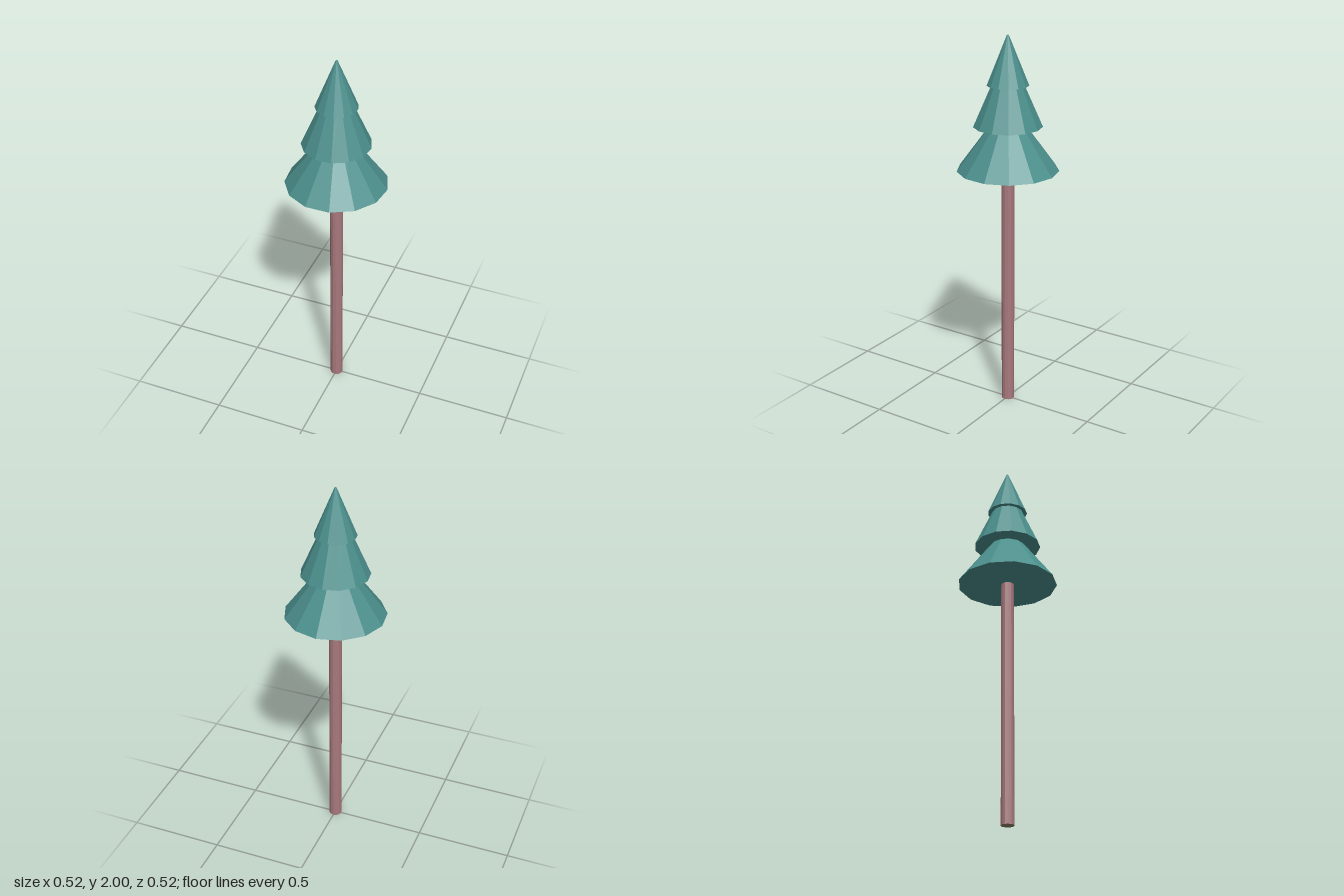
import * as THREE from 'three';

const SIDES = 13;
const TRUNK_RADIUS = 0.034;

function add(parent, name, geometry, color, y) {
  const mesh = new THREE.Mesh(geometry, new THREE.MeshStandardMaterial({ color, flatShading: true }));
  mesh.name = name;
  mesh.position.y = y;
  parent.add(mesh);
  return mesh;
}

export function createModel() {
  const tree = new THREE.Group();
  tree.name = 'pineTree';

  // Tall bare trunk, running up into the lowest tier
  const trunkHeight = 1.4;
  add(tree, 'trunk',
    new THREE.CylinderGeometry(TRUNK_RADIUS, TRUNK_RADIUS, trunkHeight, SIDES, 1, true),
    0xa8797d, trunkHeight / 2).rotation.y = Math.PI;

  // Cut wood at the foot of the trunk
  const cut = new THREE.CircleGeometry(TRUNK_RADIUS, SIDES);
  cut.rotateZ(Math.PI / 2).rotateX(Math.PI / 2).rotateY(Math.PI);
  add(tree, 'trunkBase', cut, 0x8a7f5c, 0);

  // Three stacked foliage tiers, each tucked into the one above
  const tiers = [
    { name: 'lowerFoliage', base: 1.31, top: 1.6, bottomRadius: 0.263, topRadius: 0.05 },
    { name: 'middleFoliage', base: 1.54, top: 1.8, bottomRadius: 0.177, topRadius: 0.062 },
    { name: 'upperFoliage', base: 1.75, top: 2.0, bottomRadius: 0.107, topRadius: 0.005 },
  ];
  for (const { name, base, top, bottomRadius, topRadius } of tiers) {
    const geometry = new THREE.CylinderGeometry(topRadius, bottomRadius, top - base, SIDES);
    // A corner of every tier points to the back
    add(tree, name, geometry, 0x4b8f8c, (base + top) / 2).rotation.y = Math.PI;
  }

  return tree;
}
